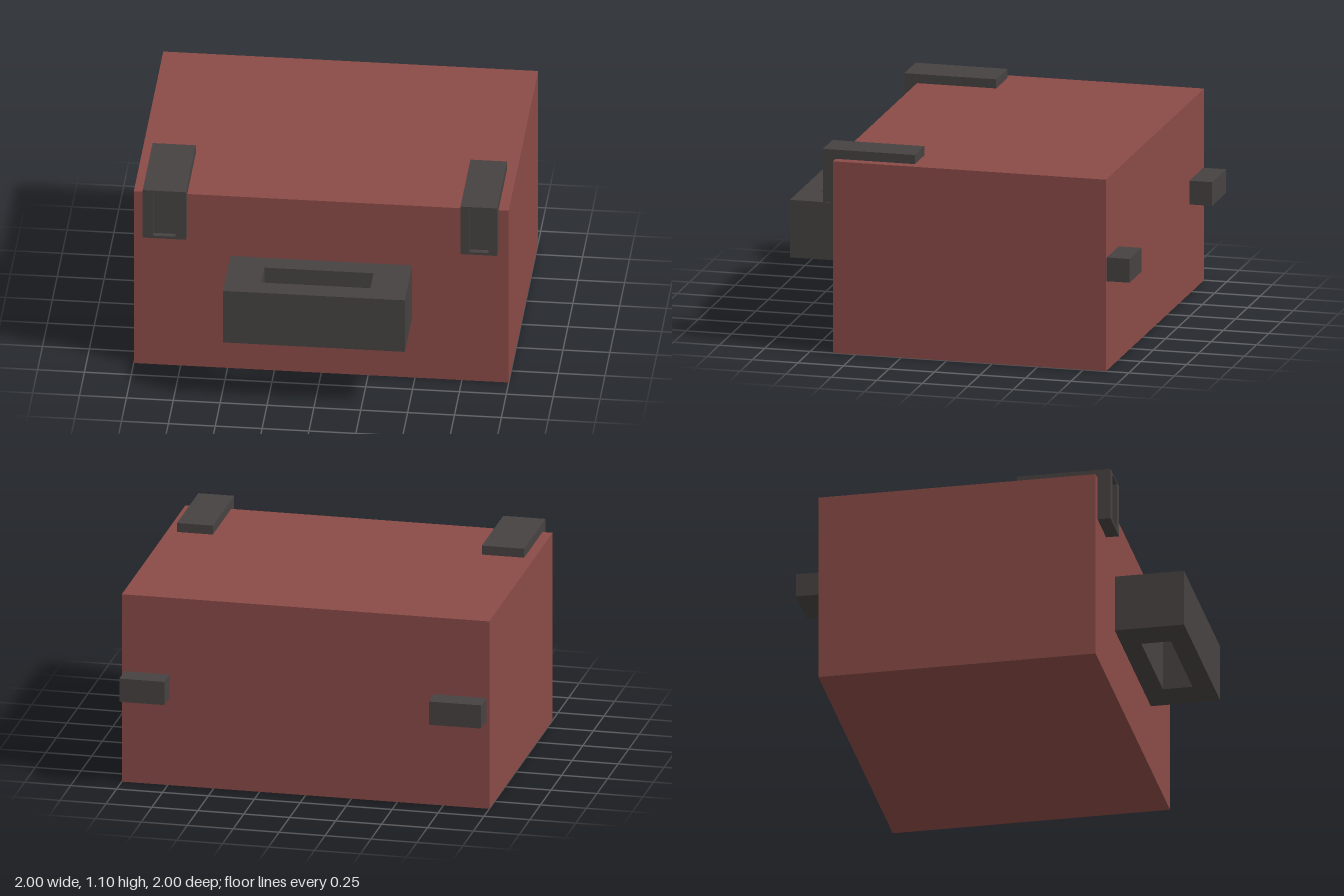
import * as THREE from 'three';

const red = new THREE.MeshStandardMaterial({ color: 0x8a4b47 });
red.name = 'brick red';
const dark = new THREE.MeshStandardMaterial({ color: 0x464241 });
dark.name = 'dark grey';

// Box given by its lower and upper limits on each axis
function block(name, material, [x0, x1], [y0, y1], [z0, z1]) {
  const mesh = new THREE.Mesh(new THREE.BoxGeometry(x1 - x0, y1 - y0, z1 - z0), material);
  mesh.position.set((x0 + x1) / 2, (y0 + y1) / 2, (z0 + z1) / 2);
  mesh.name = name;
  return mesh;
}

function rectangle(target, [x0, x1], [y0, y1]) {
  target.moveTo(x0, y0);
  target.lineTo(x1, y0);
  target.lineTo(x1, y1);
  target.lineTo(x0, y1);
  target.closePath();
  return target;
}

// Rectangular plate with a rectangular opening, extruded along +z
function frame(xs, ys, holeXs, holeYs, depth) {
  const shape = rectangle(new THREE.Shape(), xs, ys);
  shape.holes.push(rectangle(new THREE.Path(), holeXs, holeYs));
  return new THREE.ExtrudeGeometry(shape, { depth, bevelEnabled: false });
}

// Clasp that folds over the front edge of the lid, with a recessed front slot
function latch(name, xs, slotXs) {
  const group = new THREE.Group();
  group.name = name;
  const face = new THREE.Mesh(frame(xs, [0.81, 1.1], slotXs, [0.825, 1.09], 0.03), dark);
  face.name = 'latchFace';
  face.position.z = 0.665;
  group.add(
    face,
    block('latchBack', dark, xs, [0.81, 1.1], [0.625, 0.665]),
    block('latchTop', dark, xs, [1.05, 1.1], [0.19, 0.625])
  );
  return group;
}

export function createModel() {
  const model = new THREE.Group();
  model.name = 'case';

  model.add(block('body', red, [-1, 1], [0, 1.05], [-0.875, 0.625]));

  // Front handle, open from top to bottom
  const handle = new THREE.Mesh(
    frame([-0.485, 0.485], [-1, -0.625], [-0.293, 0.29], [-0.89, -0.73], 0.315), dark);
  handle.rotation.x = -Math.PI / 2;
  handle.position.y = 0.37;
  handle.name = 'handle';
  model.add(handle);

  model.add(
    latch('rightLatch', [-0.945, -0.715], [-0.89, -0.77]),
    latch('leftLatch', [0.75, 0.945], [0.797, 0.9])
  );

  // Rear hinge blocks
  model.add(
    block('rightHinge', dark, [-0.985, -0.7], [0.49, 0.62], [-1, -0.875]),
    block('leftHinge', dark, [0.74, 0.985], [0.49, 0.62], [-1, -0.875])
  );
  return model;
}
